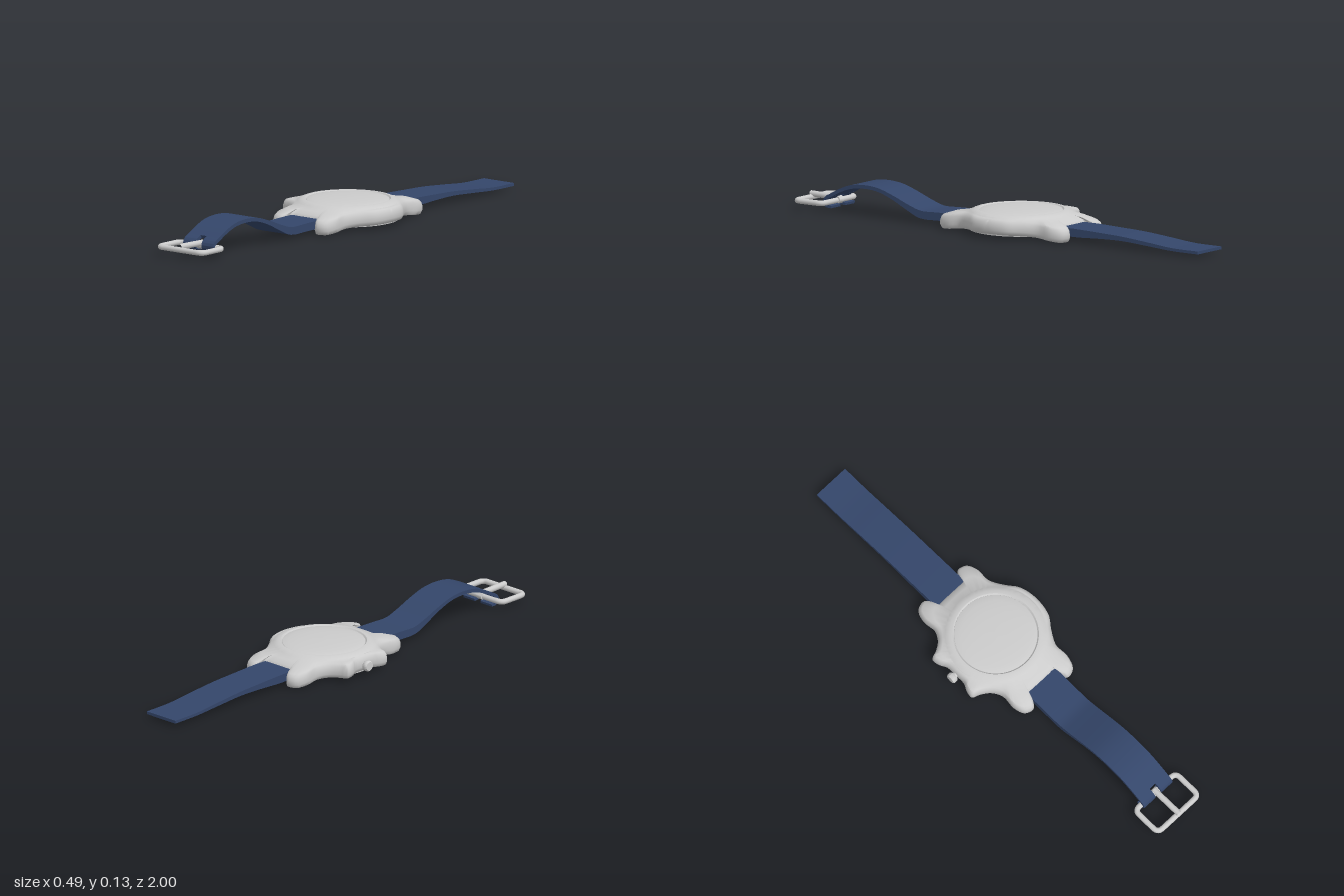
import * as THREE from 'three';
import { toCreasedNormals } from 'three/addons/utils/BufferGeometryUtils.js';

const metal = new THREE.MeshStandardMaterial({ color: 0xcccccc });
const leather = new THREE.MeshStandardMaterial({ color: 0x34466a, side: THREE.DoubleSide });
const CX = 0.008, CZ = -0.057; // centre of the watch head

function part(parent, name, geometry, material = metal) {
  const mesh = new THREE.Mesh(geometry, material);
  mesh.name = name;
  parent.add(mesh);
  return mesh;
}

// Plan outline of the case: four quarters sharing the lugs, crown guards on the -x side
function caseOutline() {
  const lug = [[0.15, 0.196], [0.152, 0.26], [0.134, 0.305], [0.098, 0.316], [0.082, 0.3], [0.076, 0.266], [0.04, 0.264], [0, 0.264]];
  const plain = [[0.232, 0], [0.229, 0.04], [0.216, 0.085], [0.181, 0.134], ...lug];
  const guard = [[0.225, 0], [0.226, 0.05], [0.241, 0.08], [0.244, 0.112], [0.212, 0.126], [0.174, 0.153], ...lug];
  const flip = (list, sx, sz) => list.map(([x, z]) => new THREE.Vector3(x * sx, 0, z * sz));
  const points = [
    ...flip(plain, 1, 1),
    ...flip(guard, -1, 1).reverse().slice(1),
    ...flip(guard, -1, -1).slice(1),
    ...flip(plain, 1, -1).reverse().slice(1, -1),
  ];
  return new THREE.CatmullRomCurve3(points, true, 'centripetal').getPoints(192).slice(0, -1);
}

// Rings from the underside, around the rounded flank, to the inner edge of the bezel
function caseGeometry() {
  const outline = caseOutline(), n = outline.length;
  // [blend from circle to outline, circle radius, height, outline scale]
  const rings = [
    [0, 0.17, 0.018, 1], [0, 0.205, 0.018, 1], [1, 0, 0.02, 0.95], [1, 0, 0.025, 0.98],
    [1, 0, 0.038, 1], [1, 0, 0.055, 1], [1, 0, 0.07, 0.985], [1, 0, 0.079, 0.955],
    [0.6, 0.205, 0.083, 0.94], [0, 0.207, 0.082, 1], [0, 0.202, 0.086, 1],
    [0, 0.185, 0.093, 1], [0, 0.173, 0.094, 1], [0, 0.167, 0.088, 1],
  ];
  const pos = [], index = [];
  rings.forEach(([blend, radius, y, scale], j) => {
    outline.forEach((p, i) => {
      const len = Math.hypot(p.x, p.z);
      const r = THREE.MathUtils.lerp(radius, len * scale, blend);
      const x = p.x / len * r, z = p.z / len * r;
      // lugs droop towards the straps
      const droop = blend * 0.021 * Math.min(1, (z / 0.29) ** 2);
      pos.push(x, y - droop, z);
      if (j === rings.length - 1) return;
      const a = j * n + i, b = j * n + (i + 1) % n;
      index.push(a, a + n, b, b, a + n, b + n);
    });
  });
  const geo = new THREE.BufferGeometry();
  geo.setAttribute('position', new THREE.Float32BufferAttribute(pos, 3));
  geo.setIndex(index);
  return toCreasedNormals(geo, 0.7);
}

// Band: side profile from [z, y, thickness] stations, extruded across x
function bandGeometry(stations, x0, x1) {
  const curve = new THREE.CatmullRomCurve3(stations.map(s => new THREE.Vector3(...s)), false, 'centripetal');
  const top = [], bottom = [];
  for (let i = 0; i <= 40; i++) {
    const p = curve.getPoint(i / 40), t = curve.getTangent(i / 40);
    const k = p.z / 2 / Math.hypot(t.x, t.y);
    top.push(new THREE.Vector2(p.x - t.y * k, p.y + t.x * k));
    bottom.unshift(new THREE.Vector2(p.x + t.y * k, p.y - t.x * k));
  }
  const geo = new THREE.ExtrudeGeometry(new THREE.Shape([...top, ...bottom]), { depth: x1 - x0, bevelEnabled: false });
  geo.rotateY(-Math.PI / 2).translate(x1, 0, 0);
  return toCreasedNormals(geo, 0.6);
}

function bar(from, to, radius) {
  const path = new THREE.LineCurve3(new THREE.Vector3(...from), new THREE.Vector3(...to));
  return new THREE.TubeGeometry(path, 1, radius, 12);
}

export function createModel() {
  const model = new THREE.Group();
  model.name = 'wristwatch';

  // Watch head
  const head = new THREE.Group();
  head.name = 'watchHead';
  head.position.set(CX, 0, CZ);
  model.add(head);
  part(head, 'caseBody', caseGeometry());
  const lathe = pts => new THREE.LatheGeometry(pts.map(p => new THREE.Vector2(...p)), 64);
  part(head, 'crystal', lathe([[0.168, 0.088], [0.166, 0.091], [0.14, 0.095], [0.1, 0.0985], [0.05, 0.1005], [0, 0.101]]));
  part(head, 'backPlate', toCreasedNormals(lathe([[0, 0.005], [0.1, 0.006], [0.17, 0.009], [0.21, 0.013], [0.211, 0.022], [0.17, 0.024]]), 0.6));

  // Crown on its stem
  const crown = lathe([[0, -0.03], [0.012, -0.03], [0.012, 0], [0.019, 0], [0.022, 0.004], [0.022, 0.018], [0.018, 0.023], [0, 0.024]]);
  crown.rotateZ(Math.PI / 2).translate(-0.232, 0.046, 0);
  part(head, 'crown', toCreasedNormals(crown, 0.7));

  // Straps
  const w0 = CX - 0.079, w1 = CX + 0.079;
  part(model, 'backStrap', bandGeometry([
    [-1, 0.018, 0.012], [-0.87, 0.019, 0.012], [-0.75, 0.028, 0.015], [-0.62, 0.037, 0.018],
    [-0.5, 0.038, 0.025], [-0.4, 0.037, 0.033], [-0.24, 0.038, 0.034],
  ], w0, w1), leather);
  part(model, 'frontStrap', bandGeometry([
    [0.13, 0.038, 0.034], [0.3, 0.034, 0.033], [0.39, 0.034, 0.031], [0.45, 0.055, 0.024], [0.53, 0.089, 0.017],
    [0.6, 0.111, 0.015], [0.67, 0.117, 0.015], [0.74, 0.109, 0.015], [0.8, 0.086, 0.014], [0.838, 0.066, 0.014],
  ], w0, w1), leather);
  // Strap end wraps the buckle bar, split around the prong
  const loop = [[0.836, 0.067, 0.014], [0.862, 0.052, 0.014], [0.869, 0.037, 0.013], [0.862, 0.023, 0.012], [0.835, 0.018, 0.01]];
  for (const [name, a, b] of [['strapLoopRight', w0, CX - 0.016], ['strapLoopLeft', CX + 0.016, w1]])
    part(model, name, bandGeometry(loop, a, b), leather);

  // Buckle: rounded rectangular frame, hinge bar and prong
  const buckle = new THREE.Group();
  buckle.name = 'buckle';
  model.add(buckle);
  const hw = 0.114, z0 = 0.856, z1 = 0.988, r = 0.026, y = 0.035;
  const frame = new THREE.CurvePath();
  const corners = [[-1, z0, 1], [1, z0, 1], [1, z1, -1], [-1, z1, -1]];
  const v = (x, z) => new THREE.Vector3(CX + x, y, z);
  const ends = corners.map(([s, z, d], i) => {
    const alongX = v(s * (hw - r), z), alongZ = v(s * hw, z + d * r);
    return { mid: v(s * hw, z), inP: i % 2 ? alongX : alongZ, outP: i % 2 ? alongZ : alongX };
  });
  ends.forEach((e, i) => {
    frame.add(new THREE.QuadraticBezierCurve3(e.inP, e.mid, e.outP));
    frame.add(new THREE.LineCurve3(e.outP, ends[(i + 1) % 4].inP));
  });
  part(buckle, 'buckleFrame', new THREE.TubeGeometry(frame, 120, 0.0115, 12, true));
  part(buckle, 'prong', bar([CX, 0.045, 0.85], [CX, 0.048, 0.994], 0.0125));
  const hinge = new THREE.CylinderGeometry(0.016, 0.016, 0.028, 20).rotateZ(Math.PI / 2).translate(CX, 0.037, z0);
  part(buckle, 'prongHinge', toCreasedNormals(hinge, 0.7));
  return model;
}
